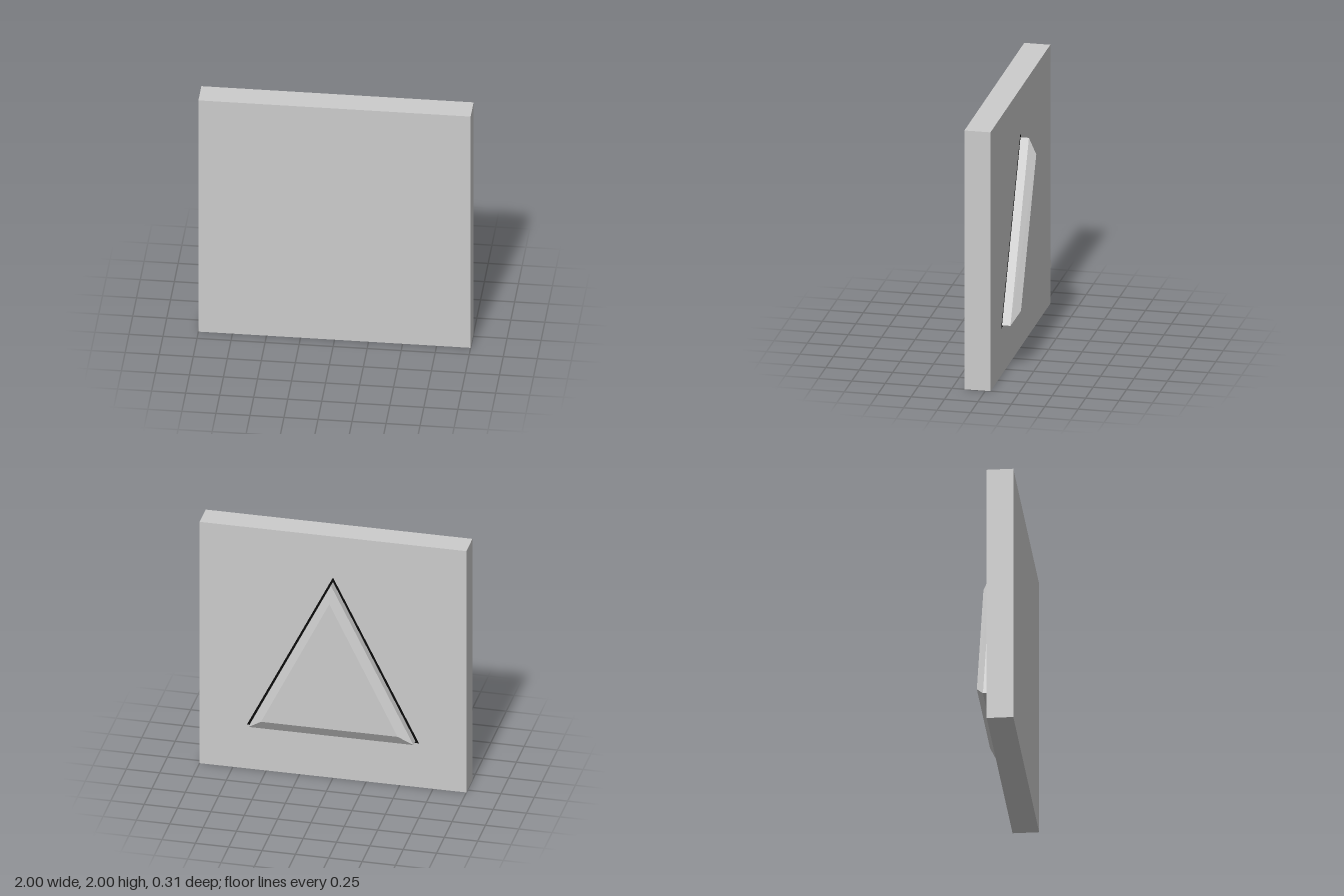
import * as THREE from 'three';

const grey = new THREE.MeshStandardMaterial({ color: 0xcccccc, flatShading: true });
const black = new THREE.MeshStandardMaterial({ color: 0x0a0a0a, flatShading: true });

// One triangular cross-section: base corners, then apex
const section = (half, base, apex, z) => [[-half, base, z], [half, base, z], [0, apex, z]];

// Skin stacked triangles running towards -z and cap the last one
function loft(sections) {
  const points = [];
  for (let s = 0; s + 1 < sections.length; s++) {
    const p = sections[s], q = sections[s + 1];
    for (let i = 0; i < 3; i++) {
      const j = (i + 1) % 3;
      points.push(p[i], q[j], p[j], p[i], q[i], q[j]);
    }
  }
  const end = sections[sections.length - 1];
  points.push(end[2], end[1], end[0]);
  const geometry = new THREE.BufferGeometry();
  geometry.setAttribute('position', new THREE.Float32BufferAttribute(points.flat(), 3));
  geometry.computeVertexNormals();
  return geometry;
}

export function createModel() {
  const group = new THREE.Group();
  const add = (name, geometry, material) => {
    const mesh = new THREE.Mesh(geometry, material);
    mesh.name = name;
    group.add(mesh);
    return mesh;
  };

  // Square slab
  add('slab', new THREE.BoxGeometry(2, 2, 0.195), grey).position.set(0, 1, 0.0595);

  // Thin dark outline lying on the back of the slab
  add('triangleOutline', loft([
    section(0.645, 0.364, 1.66, -0.037),
    section(0.645, 0.364, 1.66, -0.039),
  ]), black);

  // Raised triangle with straight walls and a bevelled rim
  add('raisedTriangle', loft([
    section(0.618, 0.38, 1.624, -0.038),
    section(0.618, 0.38, 1.624, -0.102),
    section(0.512, 0.464, 1.5, -0.157),
  ]), grey);

  return group;
}
